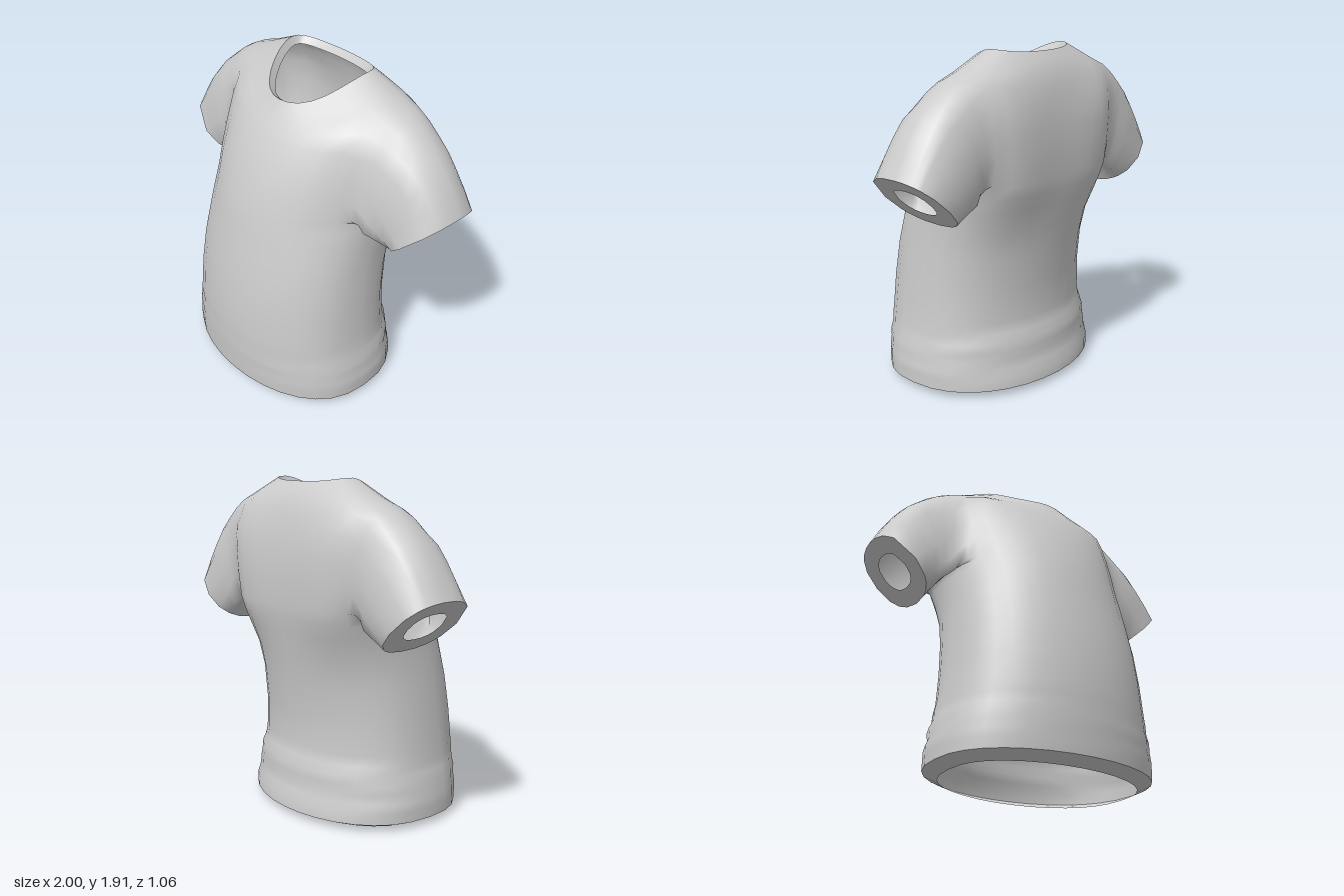
import * as THREE from 'three';

const { lerp, smoothstep } = THREE.MathUtils;
const N = 32; // points around the body
// body rings, hem to collar: [side y, front y, back y, half width, front z, back z, side z]
const RINGS = [
  [0.05, 0.05, 0.05, 0.655, 0.52, -0.505, 0.03],
  [0.11, 0.11, 0.11, 0.655, 0.525, -0.5, 0.03],
  [0.16, 0.16, 0.16, 0.65, 0.525, -0.48, 0.03],
  [0.21, 0.21, 0.21, 0.645, 0.53, -0.47, 0.03],
  [0.26, 0.26, 0.26, 0.635, 0.53, -0.47, 0.03],
  [0.31, 0.31, 0.31, 0.625, 0.53, -0.465, 0.03],
  [0.36, 0.36, 0.36, 0.61, 0.53, -0.445, 0.03],
  [0.42, 0.42, 0.42, 0.605, 0.53, -0.43, 0.03],
  [0.6, 0.6, 0.6, 0.59, 0.52, -0.43, 0.02],
  [0.8, 0.8, 0.8, 0.577, 0.49, -0.455, 0],
  [0.95, 0.95, 0.95, 0.568, 0.46, -0.475, -0.03],
  [1.08, 1.08, 1.08, 0.568, 0.435, -0.5, -0.08],
  [1.16, 1.16, 1.16, 0.575, 0.418, -0.51, -0.13],
  [1.23, 1.23, 1.23, 0.585, 0.4, -0.52, -0.17],
  [1.36, 1.36, 1.37, 0.605, 0.36, -0.52, -0.2],
  [1.51, 1.49, 1.5, 0.62, 0.305, -0.515, -0.22],
  [1.66, 1.6, 1.63, 0.63, 0.245, -0.495, -0.23],
  [1.795, 1.66, 1.73, 0.62, 0.2, -0.47, -0.24],
  [1.825, 1.7, 1.8, 0.5, 0.17, -0.445, -0.24],
  [1.872, 1.735, 1.855, 0.4, 0.145, -0.41, -0.24],
  [1.92, 1.77, 1.9, 0.3, 0.12, -0.37, -0.24],
];
// armhole patch in the body grid
const I0 = 13, I1 = 17, J0 = 5, J1 = 11;
const STEPS = 6;

function bodyPoint(ring, j) {
  const [ys, yf, yb, w, zf, zb, zs] = ring;
  const a = (j / N) * Math.PI * 2, s = Math.sin(a), c = Math.cos(a);
  // slack folds at the sides above the hem
  const fold = ys > 0.12 && ys < 0.4 ? 0.008 * Math.sin(ys * 62 + 5 * Math.abs(s) + 2 * c) * s * s : 0;
  // shoulder blades
  const blade = 0.045 * Math.sin(2 * a) ** 2 * smoothstep(ys, 0.8, 1.2) * (1 - smoothstep(ys, 1.68, 1.88));
  const z = c > 0
    ? zs + (zf - zs + fold) * c ** lerp(0.82, 1.25, smoothstep(ys, 0.7, 1.95))
    : zs - (zs - zb + fold) * Math.abs(c) ** lerp(0.85, 0.68, smoothstep(ys, 0.8, 1.3)) - blade;
  return new THREE.Vector3(s * (w + fold), lerp(c > 0 ? yf : yb, ys, Math.abs(s) ** 3), z);
}

// slightly squared circle for the cuff
const squared = (v) => Math.sign(v) * Math.abs(v) ** 0.88;

// cloth as points and triangles with welded sleeves; cuff points also get an inner rim point
function buildCloth() {
  const pts = [], tris = [], smooth = new Set(), cuffRim = new Map();
  const id = (i, j) => i * N + ((j + N) % N);
  const quad = (a, b, c, d, flip) =>
    flip ? tris.push(a, c, b, a, d, c) : tris.push(a, b, c, a, c, d);

  for (const ring of RINGS) for (let j = 0; j < N; j++) pts.push(bodyPoint(ring, j));
  for (let i = 0; i < RINGS.length - 1; i++) {
    for (let j = 0; j < N; j++) {
      const inHole = (k) => i >= I0 && i < I1 && k >= J0 && k < J1;
      if (inHole(j) || inHole(N - 1 - j)) continue;
      quad(id(i, j), id(i, j + 1), id(i + 1, j + 1), id(i + 1, j));
    }
  }

  for (const side of [1, -1]) {
    // loop around the armhole
    const loop = [];
    const add = (i, j) => loop.push(id(i, side > 0 ? j : N - j));
    for (let j = J0; j < J1; j++) add(I0, j);
    for (let i = I0; i < I1; i++) add(i, J1);
    for (let j = J1; j > J0; j--) add(I1, j);
    for (let i = I1; i > I0; i--) add(i, J0);

    const box = new THREE.Box3().setFromPoints(loop.map((k) => pts[k]));
    const mid = box.getCenter(new THREE.Vector3()), size = box.getSize(new THREE.Vector3());
    const cuffCentre = new THREE.Vector3(side * 0.84, 1.195, -0.22);
    const curves = loop.map((k) => {
      const p = pts[k].clone();
      const t = Math.atan2((p.y - mid.y) / size.y, (p.z - mid.z) / size.z);
      const u = squared(Math.sin(t)), v = squared(Math.cos(t));
      const end = new THREE.Vector3(side * (0.84 + 0.16 * u), 1.19 + 0.15 * u, -0.22 + 0.24 * v);
      const full = end.clone().add(new THREE.Vector3(side * (-0.24 + 0.08 * u), 0.26 + 0.08 * u, 0));
      const ctrl = p.clone().lerp(end, 0.5).lerp(full, (1 + u) / 2);
      return new THREE.QuadraticBezierCurve3(p, ctrl, end);
    });
    let prev = loop;
    loop.forEach((k) => smooth.add(k));
    for (let s = 1; s <= STEPS; s++) {
      const next = curves.map((c) => pts.push(c.getPoint(s / STEPS)) - 1);
      if (s < 3) next.forEach((k) => smooth.add(k));
      next.forEach((n, k) => {
        const m = (k + 1) % next.length;
        quad(prev[k], prev[m], next[m], n, side < 0);
      });
      prev = next;
    }
    prev.forEach((k) => cuffRim.set(k, pts[k].clone().lerp(cuffCentre, 0.49)));
  }

  // relax the shoulder seam so sleeve and body flow together
  const near = pts.map(() => new Set());
  for (let t = 0; t < tris.length; t += 3)
    for (let e = 0; e < 3; e++) {
      const a = tris[t + e], b = tris[t + ((e + 1) % 3)];
      near[a].add(b);
      near[b].add(a);
    }
  for (let pass = 0; pass < 3; pass++) {
    const moved = [...smooth].map((k) => {
      const avg = new THREE.Vector3();
      near[k].forEach((n) => avg.add(pts[n]));
      return [k, avg.divideScalar(near[k].size)];
    });
    moved.forEach(([k, avg]) => pts[k].lerp(avg, 0.3));
  }
  return { pts, tris, cuffRim };
}

function toGeometry(pts, tris) {
  const g = new THREE.BufferGeometry().setFromPoints(pts);
  g.setIndex(tris);
  g.computeVertexNormals();
  return g;
}

export function createModel() {
  const group = new THREE.Group();
  group.name = 'shirt';
  const material = new THREE.MeshStandardMaterial({ color: 0xcccccc, side: THREE.DoubleSide });
  const addMesh = (name, geometry) => {
    const mesh = new THREE.Mesh(geometry, material);
    mesh.name = name;
    group.add(mesh);
  };

  const { pts, tris, cuffRim } = buildCloth();
  const cloth = toGeometry(pts, tris);
  addMesh('cloth', cloth);

  // turned-in rims at hem, cuffs and collar, one strip along every open edge
  const normal = cloth.attributes.normal;
  const innerPoint = (k) => {
    if (cuffRim.has(k)) return cuffRim.get(k);
    const isHem = k < N;
    const q = new THREE.Vector3().fromBufferAttribute(normal, k);
    q.multiplyScalar(isHem ? -0.085 : -0.05).add(pts[k]);
    if (isHem) q.y = 0.01;
    return q;
  };
  const rimPts = [], rimTris = [], rimIds = new Map(), edges = new Set();
  const rimId = (k) => {
    if (!rimIds.has(k)) rimIds.set(k, rimPts.push(pts[k], innerPoint(k)) - 2);
    return rimIds.get(k);
  };
  const eachEdge = (fn) => {
    for (let t = 0; t < tris.length; t += 3)
      for (let e = 0; e < 3; e++) fn(tris[t + e], tris[t + ((e + 1) % 3)]);
  };
  eachEdge((a, b) => edges.add(a + '_' + b));
  eachEdge((a, b) => {
    if (edges.has(b + '_' + a)) return;
    const p = rimId(a), q = rimId(b);
    rimTris.push(q, p, p + 1, q, p + 1, q + 1);
  });
  addMesh('openingRims', toGeometry(rimPts, rimTris));
  return group;
}
